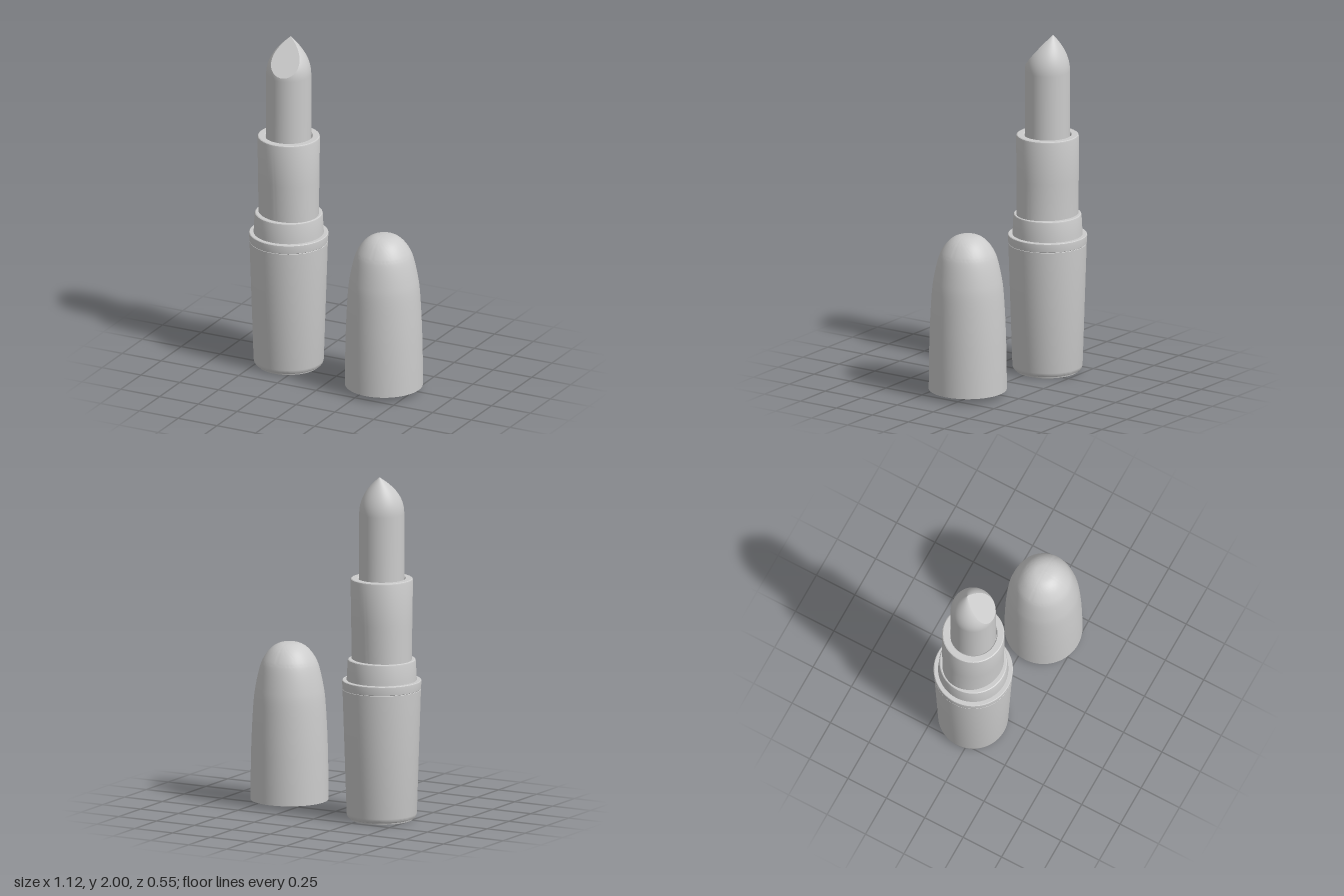
import * as THREE from 'three';
import { toCreasedNormals } from 'three/addons/utils/BufferGeometryUtils.js';

const material = new THREE.MeshStandardMaterial({ color: 0xcccccc });
const SEGMENTS = 96;

function addMesh(parent, name, geometry) {
  const mesh = new THREE.Mesh(geometry, material);
  mesh.name = name;
  parent.add(mesh);
  return mesh;
}

// Turned part from [radius, height] pairs, listed from bottom to top
function turned(points) {
  return new THREE.LatheGeometry(points.map(([r, y]) => new THREE.Vector2(r, y)), SEGMENTS);
}

// Sleeve: round at the rim, blending to a slightly oval foot
function sleeveGeometry() {
  const yTop = 1.405, yFoot = 0.92, rim = 0.179;
  const geometry = turned([
    [rim, 0.9], [rim, yFoot], [rim, 1.15], [rim, 1.395], [rim - 0.002, 1.402], [rim - 0.007, yTop],
    [0.139, yTop], [0.134, 1.4], [0.133, 1.34], [0, 1.34],
  ]);
  const pos = geometry.attributes.position;
  const angle = Math.PI / 8, c = Math.cos(angle), s = Math.sin(angle);
  for (let i = 0; i < pos.count; i++) {
    const x = pos.getX(i), y = pos.getY(i), z = pos.getZ(i);
    const k = THREE.MathUtils.clamp((yTop - y) / (yTop - yFoot), 0, 1);
    const wide = (x * c + z * s) * (1 + 0.03 * k);
    const narrow = (z * c - x * s) * (1 - 0.085 * k);
    pos.setXYZ(i, wide * c - narrow * s, y, wide * s + narrow * c);
  }
  return toCreasedNormals(geometry, 0.5);
}

// Bullet: cylinder closing to an off-centre point, sliced by a slanted plane
const BULLET = { radius: 0.129, bottom: 1.34, shoulder: 1.78, tip: 2 };

function bulletPoint(angle, t) {
  const { radius, shoulder, tip } = BULLET;
  const r = radius * (1 - t ** 2.2), lean = t ** 3;
  return new THREE.Vector3(
    r * Math.sin(angle) - 0.005 * lean,
    shoulder + (tip - shoulder) * t,
    r * Math.cos(angle) - 0.035 * lean,
  );
}

// Height above the slicing plane, which passes through the tip
const aboveCut = (p) => p.y - (BULLET.tip - 1.2 * (p.z + 0.035) - 0.22 * (p.x + 0.005));

// Where the curve at this angle meets the slicing plane (1 = reaches the tip)
function cutAt(angle) {
  const steps = 200;
  for (let i = 1; i < steps; i++) {
    if (aboveCut(bulletPoint(angle, i / steps)) > 0) {
      let low = (i - 1) / steps, high = i / steps;
      for (let n = 0; n < 20; n++) {
        const mid = (low + high) / 2;
        if (aboveCut(bulletPoint(angle, mid)) > 0) high = mid; else low = mid;
      }
      return low;
    }
  }
  return 1;
}

function makeBullet() {
  const group = new THREE.Group();
  group.name = 'bullet';
  const rings = 28, columns = 128;
  const positions = [], indices = [], edge = [];
  for (let j = 0; j < columns; j++) {
    const angle = (j / columns) * Math.PI * 2;
    const end = cutAt(angle);
    const foot = bulletPoint(angle, 0);
    positions.push(foot.x, BULLET.bottom, foot.z);
    for (let i = 0; i <= rings; i++) {
      positions.push(...bulletPoint(angle, end * (i / rings)).toArray());
    }
    edge.push(bulletPoint(angle, end));
  }
  const stride = rings + 2;
  for (let j = 0; j < columns; j++) {
    for (let i = 0; i < stride - 1; i++) {
      const a = j * stride + i, b = ((j + 1) % columns) * stride + i;
      indices.push(a, b, b + 1, a, b + 1, a + 1);
    }
  }
  const side = new THREE.BufferGeometry();
  side.setAttribute('position', new THREE.Float32BufferAttribute(positions, 3));
  side.setIndex(indices);
  side.computeVertexNormals();
  addMesh(group, 'bulletSide', side);

  // Flat slanted face, fanned from a point inside its outline
  const rim = edge.filter((p) => p.y < BULLET.tip - 1e-6);
  rim.push(new THREE.Vector3(-0.005, BULLET.tip, -0.035));
  const centre = rim.reduce((sum, p) => sum.add(p), new THREE.Vector3()).divideScalar(rim.length);
  const around = (p) => Math.atan2(p.x - centre.x, p.z - centre.z);
  rim.sort((a, b) => around(a) - around(b));
  const fan = [];
  rim.forEach((p, i) => {
    const q = rim[(i + 1) % rim.length];
    fan.push(...centre.toArray(), ...p.toArray(), ...q.toArray());
  });
  const face = new THREE.BufferGeometry();
  face.setAttribute('position', new THREE.Float32BufferAttribute(fan, 3));
  face.computeVertexNormals();
  addMesh(group, 'bulletSlantedFace', face);
  return group;
}

// Hollow cap with a domed top
function capGeometry() {
  const outer = new THREE.SplineCurve([
    [0.2235, 0.032], [0.222, 0.2], [0.217, 0.4], [0.206, 0.6], [0.193, 0.7], [0.171, 0.8],
    [0.148, 0.857], [0.108, 0.91], [0.06, 0.94], [0, 0.949],
  ].map(([r, y]) => new THREE.Vector2(r, y))).getPoints(54);
  outer.forEach((p) => { p.x = Math.max(p.x, 0); });
  const inner = outer.map((p) => new THREE.Vector2(p.x * 0.94, 0.032 + (p.y - 0.032) * 0.985)).reverse();
  return toCreasedNormals(new THREE.LatheGeometry([...inner, ...outer], SEGMENTS), 0.6);
}

export function createModel() {
  const model = new THREE.Group();
  model.name = 'lipstickWithCap';

  const lipstick = new THREE.Group();
  lipstick.name = 'lipstick';
  lipstick.position.set(-0.332, 0, -0.048);
  model.add(lipstick);

  // Tapered base with a fine seam below its rim
  addMesh(lipstick, 'base', toCreasedNormals(turned([
    [0, 0], [0.178, 0], [0.18, 0.008], [0.192, 0.012], [0.198, 0.02], [0.201, 0.035],
    [0.2245, 0.758], [0.2225, 0.76], [0.2245, 0.762],
    [0.2275, 0.804], [0.2265, 0.81], [0.223, 0.813], [0.19, 0.813],
  ]), 0.5));

  addMesh(lipstick, 'collar', toCreasedNormals(turned([
    [0.202, 0.8], [0.2, 0.83], [0.195, 0.924], [0.193, 0.931], [0.188, 0.934], [0.15, 0.934],
  ]), 0.5));

  addMesh(lipstick, 'sleeve', sleeveGeometry());
  lipstick.add(makeBullet());

  const cap = addMesh(model, 'cap', capGeometry());
  cap.position.set(0.332, 0, 0.048);
  return model;
}
